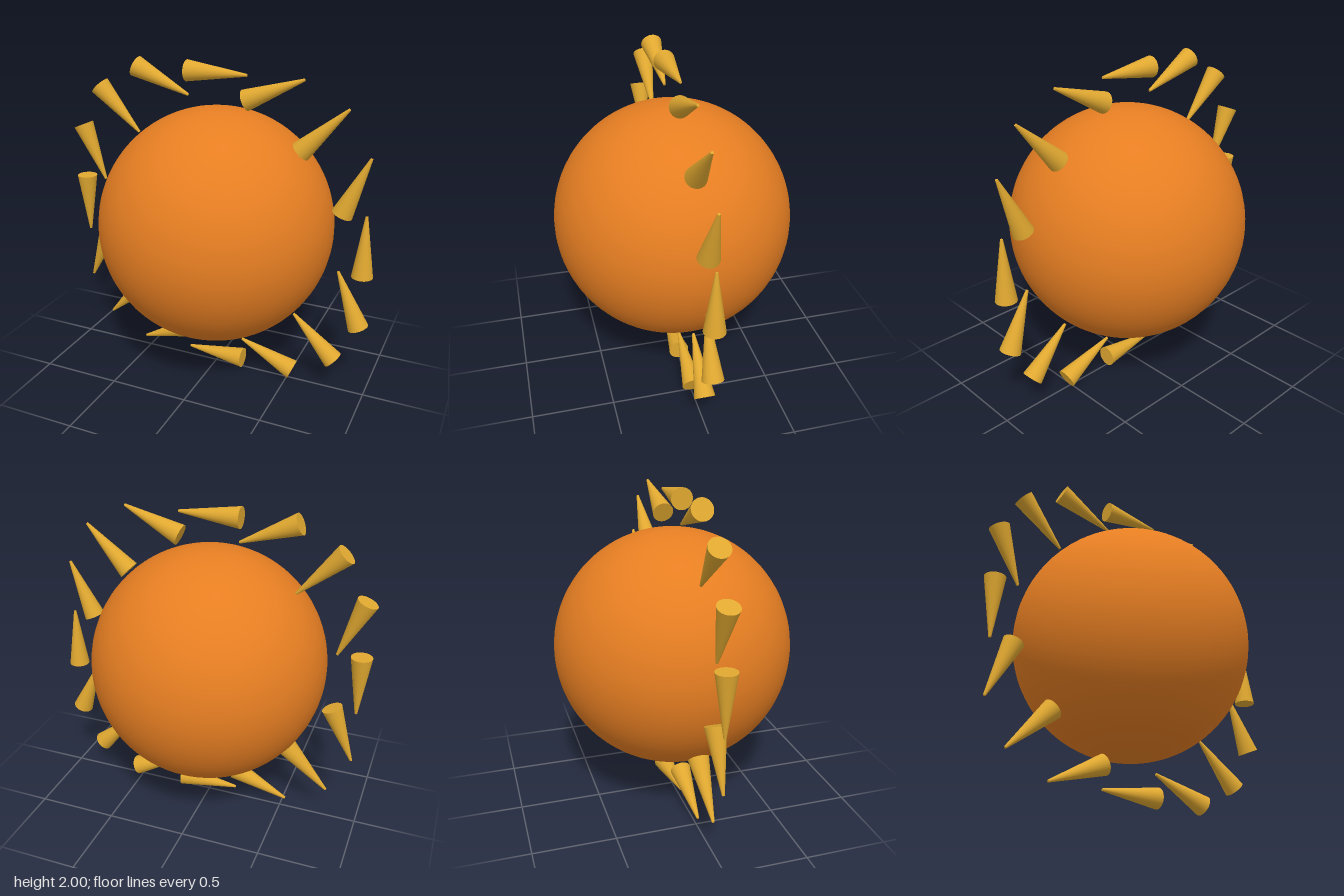
import * as THREE from 'three';

export function createModel() {
  const model = new THREE.Group();
  const orange = new THREE.MeshStandardMaterial({ color: 0xe67e22 });
  const gold = new THREE.MeshStandardMaterial({ color: 0xe0a830 });

  // Central ball
  const ball = new THREE.Mesh(new THREE.SphereGeometry(0.73, 64, 48), orange);
  ball.name = 'ball';
  ball.position.y = 1;
  model.add(ball);

  // Ring of blunt-tipped cones, each turned against its place on the circle
  const rays = new THREE.Group();
  rays.name = 'rays';
  rays.position.y = 1;
  const count = 16;
  const ringRadius = 0.936;
  const rayGeometry = new THREE.CylinderGeometry(0.008, 0.064, 0.38, 32);
  for (let i = 0; i < count; i++) {
    const angle = (i / count) * Math.PI * 2;
    const ray = new THREE.Mesh(rayGeometry, gold);
    ray.name = 'ray';
    ray.position.set(ringRadius * Math.cos(angle), ringRadius * Math.sin(angle), 0);
    ray.rotation.z = -angle;
    rays.add(ray);
  }
  model.add(rays);

  return model;
}
